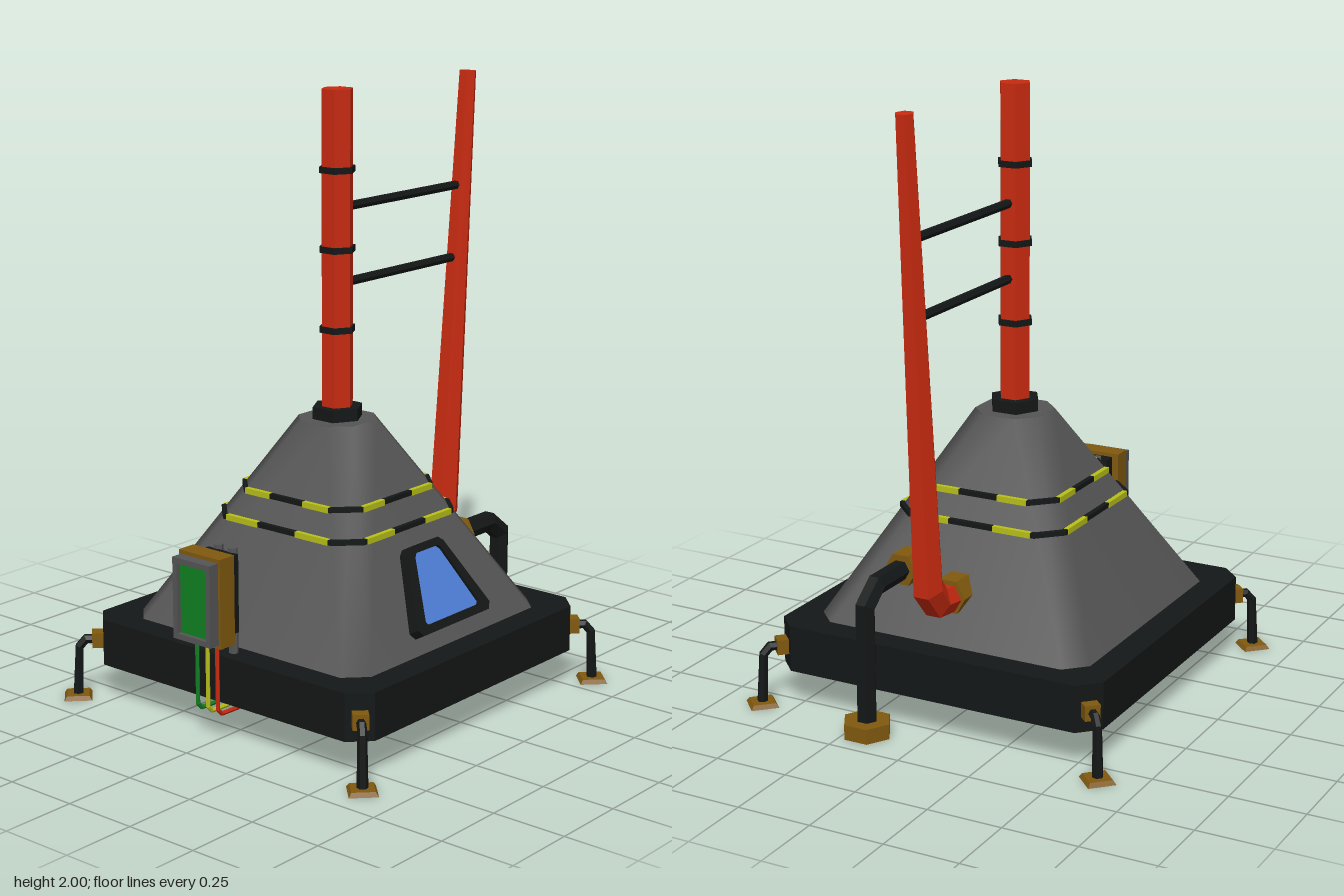
import * as THREE from 'three';

const mat = (color, flat = true) =>
  new THREE.MeshStandardMaterial({ color, flatShading: flat, roughness: 0.8 });
const BLACK = mat(0x141717), GREY = mat(0x555555), BODY = mat(0x555555, false), RED = mat(0xc82a10),
  BRASS = mat(0x80590f), BLUE = mat(0x4f7fd8), YELLOW = mat(0xb8c018), GREEN = mat(0x118022);

const CX = -0.02; // axis of the tower
const SLOPE = 0.565; // inward run of the hull per unit of height
const hullHalf = (y) => 0.487 - (y - 0.28) * SLOPE;

function add(parent, name, geometry, material, x = 0, y = 0, z = 0) {
  const mesh = new THREE.Mesh(geometry, material);
  mesh.name = name;
  mesh.position.set(x, y, z);
  parent.add(mesh);
  return mesh;
}

const box = (w, h, d) => new THREE.BoxGeometry(w, h, d);
const hex = (r, h) => new THREE.CylinderGeometry(r, r, h, 6);

// Square with cut corners, counter-clockwise
function octagon(h, c) {
  const i = h - c;
  return [[h, -i], [h, i], [i, h], [-i, h], [-h, i], [-h, -i], [-i, -h], [i, -h]]
    .map(([x, y]) => new THREE.Vector2(x, y));
}

// Horizontal slab from an outline, with an optional hole
function slab(outline, height, hole) {
  const shape = new THREE.Shape(outline);
  if (hole) shape.holes.push(new THREE.Path(hole));
  return new THREE.ExtrudeGeometry(shape, { depth: height, bevelEnabled: false }).rotateX(-Math.PI / 2);
}

// Mitred pipe along points [x, y, radius] in an upright plane
function pipe(points, sides = 6) {
  const pos = [], index = [], n = points.length;
  const P = points.map(([x, y]) => new THREE.Vector2(x, y));
  P.forEach((p, i) => {
    const before = P[i].clone().sub(P[Math.max(i - 1, 0)]).normalize();
    const after = P[Math.min(i + 1, n - 1)].clone().sub(p).normalize();
    const t = before.clone().add(after).normalize();
    const miter = 1 / t.dot(i ? before : after);
    for (let k = 0; k < sides; k++) {
      const a = (k / sides) * Math.PI * 2, r = points[i][2], s = Math.sin(a) * r * miter;
      pos.push(p.x - t.y * s, p.y + t.x * s, Math.cos(a) * r);
    }
  });
  pos.push(P[0].x, P[0].y, 0, P[n - 1].x, P[n - 1].y, 0);
  for (let k = 0; k < sides; k++) {
    const m = (k + 1) % sides, last = (n - 1) * sides;
    for (let i = 0; i < n - 1; i++) {
      const a = i * sides + k, b = i * sides + m, c = a + sides, d = b + sides;
      index.push(b, a, c, b, c, d);
    }
    index.push(n * sides, k, m, n * sides + 1, last + m, last + k);
  }
  const g = new THREE.BufferGeometry();
  g.setAttribute('position', new THREE.Float32BufferAttribute(pos, 3));
  g.setIndex(index);
  const flat = g.toNonIndexed();
  flat.computeVertexNormals();
  return flat;
}

// Sloping sides with softly shaded corners
function hullSides() {
  const pos = [], index = [];
  octagon(hullHalf(0.28), 0.068).forEach((p) => pos.push(p.x, 0.28, -p.y));
  octagon(hullHalf(0.935), 0.06).forEach((p) => pos.push(p.x, 0.935, -p.y));
  for (let k = 0; k < 8; k++) {
    const m = (k + 1) % 8;
    index.push(k, m, m + 8, k, m + 8, k + 8);
  }
  const g = new THREE.BufferGeometry();
  g.setAttribute('position', new THREE.Float32BufferAttribute(pos, 3));
  g.setIndex(index);
  g.computeVertexNormals();
  return g;
}

function buildHull(parent) {
  const hull = new THREE.Group();
  hull.name = 'hull';
  hull.position.x = CX;
  parent.add(hull);
  add(hull, 'base', slab(octagon(0.579, 0.065), 0.155), BLACK, 0, 0.125);
  add(hull, 'hullSides', hullSides(), BODY);
  add(hull, 'hullTop', slab(octagon(hullHalf(0.935), 0.06), 0.01), GREY, 0, 0.9255);

  // Hazard bands: a black ring with two yellow dashes on each side
  for (const [y, half, from, to] of [[0.617, 0.304, 0.08, 0.215], [0.703, 0.255, 0.07, 0.175]]) {
    add(hull, 'hazardBand', slab(octagon(half, 0.075), 0.016, octagon(half - 0.025, 0.065)), BLACK, 0, y);
    for (let side = 0; side < 4; side++) {
      const turn = new THREE.Group();
      turn.name = 'hazardDashes';
      turn.rotation.y = (side * Math.PI) / 2;
      hull.add(turn);
      for (const s of [-1, 1])
        add(turn, 'hazardDash', box(to - from, 0.019, 0.016), YELLOW, (s * (from + to)) / 2, y + 0.008, half - 0.006);
    }
  }

  // Window lying on the front slope
  const win = new THREE.Group();
  win.name = 'window';
  win.position.set(0, 0.445, hullHalf(0.445));
  win.rotation.x = -Math.atan(SLOPE);
  hull.add(win);
  const mirrored = (pts) => [...pts, ...pts.map(([x, y]) => [-x, y]).reverse()]
    .map(([x, y]) => new THREE.Vector2(x, y));
  const outer = mirrored([[0.17, -0.138], [0.186, -0.115], [0.09, 0.122], [0.07, 0.138]]);
  const inner = mirrored([[0.13, -0.11], [0.138, -0.1], [0.068, 0.1], [0.055, 0.113]]);
  const frame = new THREE.Shape(outer);
  frame.holes.push(new THREE.Path(inner));
  add(win, 'windowFrame', new THREE.ExtrudeGeometry(frame, { depth: 0.05, bevelEnabled: false }), BLACK, 0, 0, -0.01);
  add(win, 'windowGlass', new THREE.ExtrudeGeometry(new THREE.Shape(inner), { depth: 0.04, bevelEnabled: false }),
    BLUE, 0, 0, -0.01);
}

function buildLegs(parent) {
  for (let k = 0; k < 4; k++) {
    const leg = new THREE.Group();
    leg.name = 'leg';
    leg.position.x = CX;
    leg.rotation.y = Math.PI / 4 + (k * Math.PI) / 2;
    parent.add(leg);
    add(leg, 'legBracket', box(0.05, 0.05, 0.05), BRASS, 0.785, 0.2);
    add(leg, 'legStrut', pipe([[0.79, 0.2, 0.015], [0.83, 0.2, 0.015], [0.852, 0.175, 0.015], [0.86, 0.01, 0.018]]), BLACK);
    const pad = new THREE.CylinderGeometry(0.052, 0.064, 0.014, 4).rotateY(Math.PI / 4);
    add(leg, 'footPad', pad, BRASS, 0.86, 0.007);
  }
}

function buildPipes(parent) {
  // Central mast
  add(parent, 'mastCollar', hex(0.085, 0.045), BLACK, CX, 0.953);
  add(parent, 'mast', hex(0.053, 1.05), RED, CX, 1.475);
  for (const y of [1.23, 1.49, 1.745]) add(parent, 'mastRing', hex(0.061, 0.02), BLACK, CX, y);

  // Leaning exhaust pipe braced to the mast
  add(parent, 'leaningPipe', pipe([[0.33, 0.415, 0.048], [0.5, 0.437, 0.05], [0.553, 0.5, 0.052], [0.66, 2, 0.03]]), RED);
  add(parent, 'leaningPipeFlange', hex(0.062, 0.11).rotateZ(Math.PI / 2), BRASS, 0.375, 0.432);
  for (const [y, end] of [[1.62, 0.625], [1.375, 0.61]])
    add(parent, 'brace', pipe([[0, y, 0.015], [end, y, 0.015]]), BLACK);

  // Drain pipe running down to the ground
  add(parent, 'drainPipe', pipe([[0.33, 0.482, 0.034], [0.56, 0.482, 0.034], [0.627, 0.43, 0.034], [0.627, 0.02, 0.034]]),
    BLACK, 0, 0, 0.185);
  add(parent, 'drainFlange', hex(0.057, 0.1).rotateZ(Math.PI / 2), BRASS, 0.36, 0.482, 0.185);
  add(parent, 'drainFoot', hex(0.082, 0.05), BRASS, 0.627, 0.025, 0.185);
}

function buildControlBox(parent) {
  const unit = new THREE.Group();
  unit.name = 'controlBox';
  unit.position.z = -0.01;
  parent.add(unit);
  add(unit, 'controlCase', box(0.065, 0.29, 0.172), BRASS, -0.637, 0.48);
  add(unit, 'controlBack', box(0.05, 0.255, 0.125), BLACK, -0.585, 0.485);

  // Screen set into a grey surround facing outward
  for (const s of [-1, 1]) {
    add(unit, 'screenSurroundSide', box(0.04, 0.265, 0.018), GREY, -0.688, 0.48, s * 0.069);
    add(unit, 'screenSurroundEdge', box(0.04, 0.018, 0.12), GREY, -0.688, 0.48 + s * 0.1235);
    add(unit, 'mountingPost', hex(0.016, 0.35), GREY, -0.55, 0.45, s * 0.03);
  }
  add(unit, 'screen', box(0.025, 0.23, 0.121), GREEN, -0.68, 0.48);

  // Cables looping under the base
  [[RED, 0.045], [YELLOW, 0.004], [GREEN, -0.04]].forEach(([material, z]) =>
    add(unit, 'cable', pipe([[-0.642, 0.35, 0.007], [-0.642, 0.12, 0.007], [-0.625, 0.102, 0.007],
      [-0.55, 0.1, 0.007], [-0.54, 0.11, 0.007], [-0.54, 0.14, 0.007]]), material, 0, 0, z));
}

export function createModel() {
  const model = new THREE.Group();
  model.name = 'fieldStation';
  buildHull(model);
  buildLegs(model);
  buildPipes(model);
  buildControlBox(model);
  return model;
}
